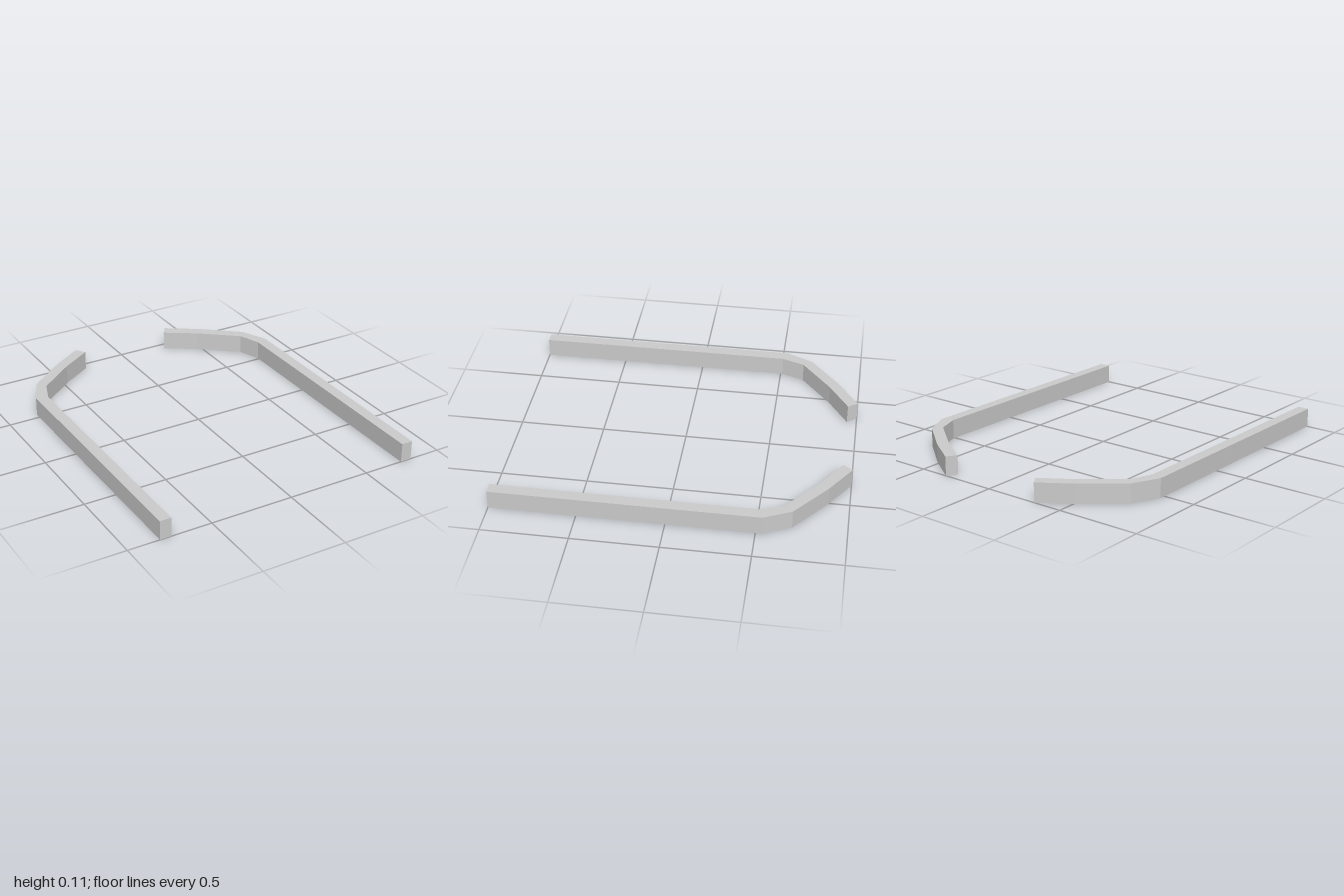
import * as THREE from 'three';

const HEIGHT = 0.114;

// Plan outline of one rail as [x, z]: outer edge front to back, then inner edge back to front
const OUTER = [[0.81, 1], [0.81, -0.535], [0.735, -0.695], [0.512, -0.876], [0.324, -1]];
const INNER = [[0.285, -0.943], [0.472, -0.822], [0.692, -0.645], [0.742, -0.51], [0.742, 1]];

function makeRail(name, side, material) {
  const outline = [...OUTER, ...INNER].map(([x, z]) => new THREE.Vector2(side * x, -z));
  const geometry = new THREE.ExtrudeGeometry(new THREE.Shape(outline), { depth: HEIGHT, bevelEnabled: false });
  geometry.rotateX(-Math.PI / 2); // lay the plan flat, thickness upwards
  const rail = new THREE.Mesh(geometry, material);
  rail.name = name;
  return rail;
}

export function createModel() {
  const model = new THREE.Group();
  model.name = 'curvedRails';
  const material = new THREE.MeshStandardMaterial({ color: 0xcccccc, flatShading: true });

  // Mirrored pair of straight rails that bend inwards at the back
  model.add(makeRail('leftRail', 1, material), makeRail('rightRail', -1, material));
  return model;
}
